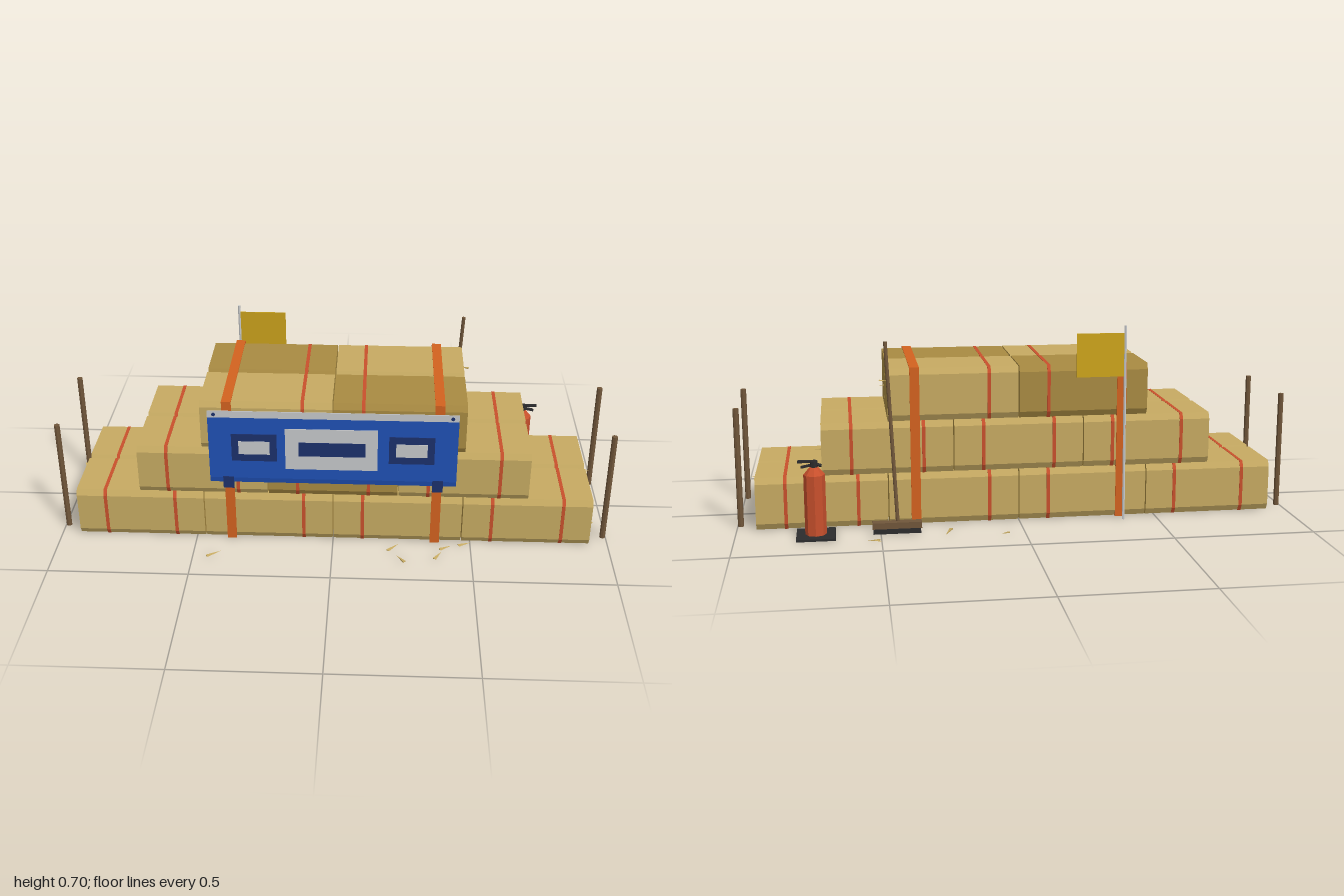
import * as THREE from 'three';

const mat = (name, color) => {
  const m = new THREE.MeshStandardMaterial({ color });
  m.name = name;
  return m;
};

export function createModel() {
  const root = new THREE.Group();
  root.name = 'strawBaleBarrier';

  const straw = mat('straw', 0xc6aa62);
  const darkStraw = mat('dark straw', 0xa88a42);
  const red = mat('twine and extinguisher red', 0xc8502c);
  const orange = mat('strap orange', 0xd2621f);
  const blue = mat('board blue', 0x1f50b4);
  const navy = mat('navy', 0x1c306c);
  const grey = mat('light grey', 0xc6c8ca);
  const wood = mat('wood', 0x70563a);
  const black = mat('black', 0x2b2b2d);
  const yellow = mat('flag yellow', 0xcba31c);
  yellow.side = THREE.DoubleSide;

  const add = (name, geo, material, x = 0, y = 0, z = 0, parent = root) => {
    const m = new THREE.Mesh(geo, material);
    m.name = name;
    m.position.set(x, y, z);
    parent.add(m);
    return m;
  };
  const box = (name, w, h, d, material, x, y, z, parent) =>
    add(name, new THREE.BoxGeometry(w, h, d), material, x, y, z, parent);

  // Round bar between two points
  const bar = (name, a, b, r, material, sides = 8, parent = root) => {
    const p = new THREE.Vector3(...a), q = new THREE.Vector3(...b);
    const d = q.clone().sub(p);
    const geo = new THREE.CylinderGeometry(r, r, d.length(), sides).toNonIndexed();
    geo.computeVertexNormals();
    const m = add(name, geo, material, 0, 0, 0, parent);
    m.position.copy(p).add(q).multiplyScalar(0.5);
    m.quaternion.setFromUnitVectors(new THREE.Vector3(0, 1, 0), d.normalize());
    return m;
  };

  // Prism along x with a given outline of [z, y] points
  const prism = (points, length) => {
    const shape = new THREE.Shape(points.map(([z, y]) => new THREE.Vector2(-z, y)));
    const geo = new THREE.ExtrudeGeometry(shape, { depth: length, bevelEnabled: false });
    geo.translate(0, 0, -length / 2);
    geo.rotateY(Math.PI / 2);
    return geo;
  };
  const octagon = (w, h, cz, cy) => [
    [-w + cz, -h], [w - cz, -h], [w, -h + cy], [w, h - cy],
    [w - cz, h], [-w + cz, h], [-w, h - cy], [-w, -h + cy],
  ];

  // Bales, stacked in three stepped layers and two rows
  const BL = 0.467, BH = 0.188;
  const baleGeo = prism(octagon(0.119, 0.0935, 0.012, 0.022), BL - 0.004);
  const twineGeo = prism(octagon(0.121, 0.0945, 0.012, 0.022), 0.012);
  const rows = [['front', 0.147], ['back', -0.096]];
  const darkBales = ['front10', 'front21', 'back20'];
  darkBales[0] = 'front11';
  for (let layer = 0; layer < 3; layer++) {
    const count = 4 - layer;
    for (const [row, z] of rows) {
      for (let i = 0; i < count; i++) {
        const bale = new THREE.Group();
        bale.name = `${row}Bale`;
        bale.position.set((i - (count - 1) / 2) * BL, BH * (layer + 0.5), z);
        root.add(bale);
        const side = darkBales.includes(`${row}${layer}${i}`) ? darkStraw : straw;
        add('baleBody', baleGeo, [darkStraw, side], 0, 0, 0, bale);
        for (const s of [-1, 1]) add('twine', twineGeo, red, s * 0.127, 0, 0, bale);
      }
    }
  }

  // Straps over the whole stack
  for (const s of [-1, 1]) {
    const x = s * 0.37;
    box('strapFront', 0.034, 0.567, 0.003, orange, x, 0.2835, 0.2695);
    box('strapBack', 0.034, 0.567, 0.003, orange, x, 0.2835, -0.2185);
    box('strapTop', 0.034, 0.003, 0.491, orange, x, 0.5665, 0.0255);
  }

  // Sign board with folded lower edge
  const board = new THREE.Group();
  board.name = 'signBoard';
  root.add(board);
  add('boardPanel', prism([[0.27, 0.245], [0.273, 0.245], [0.277, 0.265], [0.275, 0.53], [0.27, 0.53]], 0.875), blue, 0, 0, 0, board);
  const plate = (name, w, h, material, x, y, z) => box(name, w, h, 0.003, material, x, y, z, board);
  plate('topRail', 0.875, 0.026, grey, 0, 0.522, 0.2755);
  plate('centrePlate', 0.325, 0.163, grey, -0.005, 0.387, 0.2765);
  plate('centreBar', 0.235, 0.055, navy, -0.003, 0.388, 0.278);
  for (const s of [-1, 1]) {
    plate('sidePlate', 0.16, 0.108, navy, s * 0.277, 0.39, 0.2765);
    plate('sideInset', 0.11, 0.052, grey, s * 0.277, 0.39, 0.278);
    box('boardBracket', 0.038, 0.047, 0.009, navy, s * 0.372, 0.246, 0.2745, board);
    const bolt = add('bolt', new THREE.CylinderGeometry(0.007, 0.007, 0.003, 8), navy, s * 0.415, 0.521, 0.277, board);
    bolt.rotation.x = Math.PI / 2;
  }

  // Corner stakes
  for (const x of [-0.989, 0.989])
    for (const z of [0.21, -0.154]) bar('cornerStake', [x, 0, z], [x, 0.427, z], 0.0105, wood);

  // Marker flag
  bar('flagPole', [-0.375, 0, -0.258], [-0.375, 0.703, -0.238], 0.005, grey, 6);
  const flag = box('flag', 0.175, 0.155, 0.003, yellow, -0.288, 0.6, -0.241);
  flag.rotation.x = 0.028;

  // Broom
  box('broomHead', 0.172, 0.022, 0.032, wood, 0.443, 0.03, -0.306);
  box('broomBristles', 0.165, 0.019, 0.026, black, 0.443, 0.0095, -0.306);
  bar('broomHandle', [0.44, 0.03, -0.297], [0.47, 0.666, -0.248], 0.0065, wood);

  // Fire extinguisher on its mat
  const ext = new THREE.Group();
  ext.name = 'fireExtinguisher';
  ext.position.set(0.723, 0, -0.302);
  root.add(ext);
  box('mat', 0.134, 0.008, 0.134, black, 0, 0.004, 0, ext);
  const body = new THREE.LatheGeometry(
    [[0, 0.006], [0.037, 0.006], [0.037, 0.22], [0.015, 0.246], [0, 0.246]].map(p => new THREE.Vector2(...p)), 8).toNonIndexed();
  body.computeVertexNormals();
  add('tank', body, red, 0, 0, 0, ext);
  bar('valve', [0, 0.244, 0], [0, 0.268, 0], 0.013, black, 8, ext);
  box('lever', 0.062, 0.008, 0.012, black, 0.025, 0.266, 0, ext);
  const grip = box('grip', 0.04, 0.007, 0.012, black, 0.025, 0.25, 0, ext);
  grip.rotation.z = -0.2;
  bar('nozzle', [0, 0.257, 0], [-0.026, 0.25, 0], 0.006, black, 6, ext);

  // Loose straw: [x, y, z, length, turn]
  const wisps = [
    [0.07, 0.003, -0.37, 0.03, 0.4], [0.265, 0.003, -0.33, 0.08, 1.2], [0.53, 0.003, -0.39, 0.05, 0.2],
    [0.51, 0.003, -0.4, 0.03, 2.2], [-0.425, 0.003, 0.375, 0.06, 0.6], [0.22, 0.003, 0.31, 0.06, 0.8],
    [0.245, 0.003, 0.38, 0.05, 2.2], [0.38, 0.003, 0.355, 0.05, 1], [0.41, 0.003, 0.305, 0.05, 0.5],
    [0.48, 0.003, 0.28, 0.05, 0.4], [0.945, 0.145, -0.015, 0.03, 0.2], [0.945, 0.04, 0.18, 0.03, 0.5],
    [0.712, 0.275, -0.165, 0.03, 0.1], [0.475, 0.455, 0.065, 0.03, 0.3], [0.475, 0.51, -0.14, 0.03, 2.9],
    [-0.945, 0.14, 0, 0.03, 0.3], [-0.945, 0.05, 0.17, 0.03, 2.8], [-0.712, 0.3, 0.1, 0.03, 0.2],
  ];
  for (const [x, y, z, len, turn] of wisps) {
    const geo = new THREE.ConeGeometry(0.009, len, 3).toNonIndexed();
    geo.computeVertexNormals();
    geo.rotateZ(-Math.PI / 2);
    geo.scale(1, 0.3, 1);
    add('looseStraw', geo, straw, x, y, z).rotation.y = turn;
  }

  return root;
}
